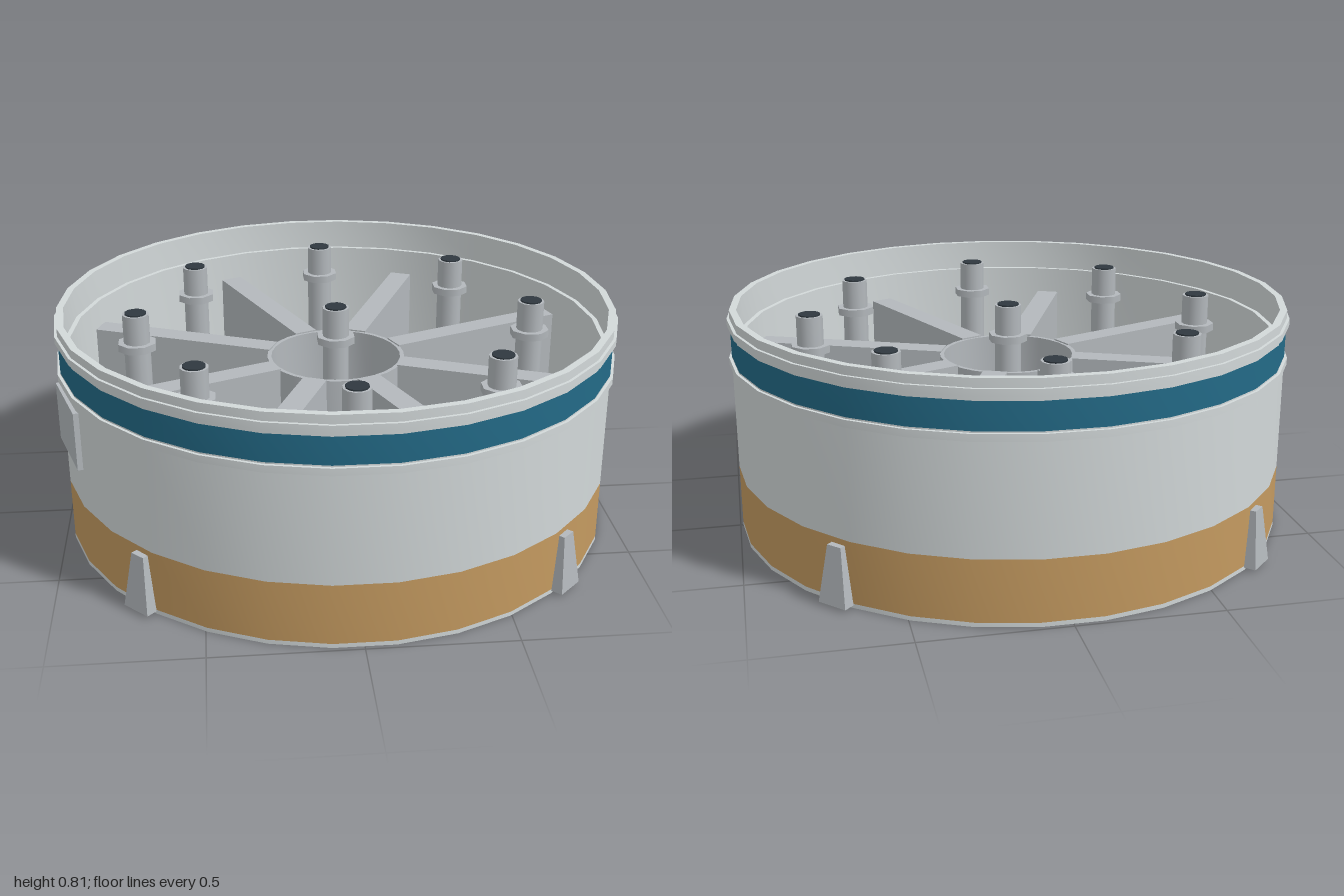
import * as THREE from 'three';
import { toCreasedNormals } from 'three/addons/utils/BufferGeometryUtils.js';

const SIDES = 30;

function material(name, color) {
  const m = new THREE.MeshStandardMaterial({ color });
  m.name = name;
  return m;
}

export function createModel() {
  const model = new THREE.Group();
  model.name = 'drumHousing';

  const shell = material('paleShell', 0xd2d8d9);
  const tan = material('tanBand', 0xc49a60);
  const teal = material('tealStripe', 0x236a87);
  const grey = material('midGrey', 0xb3b8bc);
  const dark = material('darkSocket', 0x2f383f);

  function add(name, geometry, mat, x = 0, y = 0, z = 0, parent = model) {
    const mesh = new THREE.Mesh(geometry, mat);
    mesh.name = name;
    mesh.position.set(x, y, z);
    parent.add(mesh);
    return mesh;
  }

  // Surface of revolution; the profile runs upward on outward-facing walls
  function turned(name, profile, mat) {
    const points = profile.map(([r, y]) => new THREE.Vector2(r, y));
    const geometry = new THREE.LatheGeometry(points, SIDES, Math.PI / 2);
    return add(name, toCreasedNormals(geometry, 0.5), mat);
  }

  // Upright cylinder with smooth sides and sharp rims
  function post(name, radius, bottom, top, sides, mat, x, z) {
    const geometry = new THREE.CylinderGeometry(radius, radius, top - bottom, sides);
    geometry.rotateY(Math.PI / sides);
    return add(name, geometry, mat, x, (top + bottom) / 2, z);
  }

  // Outer wall in coloured bands
  turned('lowerBand', [[0.99, 0.015], [0.99, 0.23]], tan);
  turned('middleWall', [[0.99, 0.23], [0.99, 0.645]], shell);
  turned('stripe', [[0.99, 0.645], [0.99, 0.74]], teal);

  // Rim and stepped inner wall above the floor
  turned('upperRim', [[0.99, 0.74], [0.99, 0.81], [0.965, 0.81], [0.965, 0.7],
    [0.948, 0.7], [0.948, 0.3]], shell);

  // Hollow skirt below the floor
  turned('skirt', [[0.948, 0.28], [0.948, 0.11], [0.965, 0.11], [0.965, 0],
    [0.99, 0], [0.99, 0.015]], shell);

  // Thin raised hoops above and below the stripe
  for (const y of [0.615, 0.755]) {
    turned('hoop', [[0.988, y], [1, y], [1, y + 0.025], [0.988, y + 0.025]], shell);
  }

  // Floor: grey above, tan below
  turned('floor', [[0.95, 0.3], [0, 0.3]], grey);
  turned('undersidePlate', [[0, 0.283], [0.95, 0.283]], tan);

  // Open central hub
  turned('hub', [[0.235, 0.3], [0.25, 0.3], [0.25, 0.595], [0.235, 0.595], [0.235, 0.3]], grey);

  // Radial ribs from hub to wall
  for (let i = 0; i < 8; i++) {
    const rib = new THREE.BoxGeometry(0.085, 0.305, 0.71);
    rib.translate(0, 0.4475, 0.598);
    add('rib', rib, grey).rotation.y = Math.PI / 8 + i * Math.PI / 4;
  }

  // Collared posts with dark sockets, and a round pad beneath each
  for (let i = 0; i < 9; i++) {
    const r = i < 8 ? 0.715 : 0;
    const x = r * Math.sin(i * Math.PI / 4);
    const z = r * Math.cos(i * Math.PI / 4);
    post('post', 0.048, 0.3, 0.778, 12, grey, x, z);
    post('postCollar', 0.071, 0.645, 0.672, 8, grey, x, z);
    post('socket', 0.039, 0.776, 0.783, 12, dark, x, z);
    post('undersidePad', 0.178, 0.27, 0.284, 16, grey, x, z);
  }

  // Tapered feet on the diagonals
  const foot = new THREE.BoxGeometry(0.11, 0.2, 0.08);
  foot.translate(0, 0.11, 0.99);
  const p = foot.attributes.position;
  for (let i = 0; i < p.count; i++) {
    if (p.getY(i) > 0.1) {
      p.setX(i, p.getX(i) * 0.5);
      if (p.getZ(i) > 0.99) p.setZ(i, 1.008);
    }
  }
  const feet = toCreasedNormals(foot, 0.3);
  for (let i = 0; i < 4; i++) {
    add('foot', feet, grey).rotation.y = Math.PI / 4 + i * Math.PI / 2;
  }

  // Flat access plate on the side wall
  const plate = new THREE.BoxGeometry(0.28, 0.21, 0.05);
  plate.translate(0, 0.485, 0.972);
  add('accessPlate', plate, grey).rotation.y = THREE.MathUtils.degToRad(287);

  return model;
}
